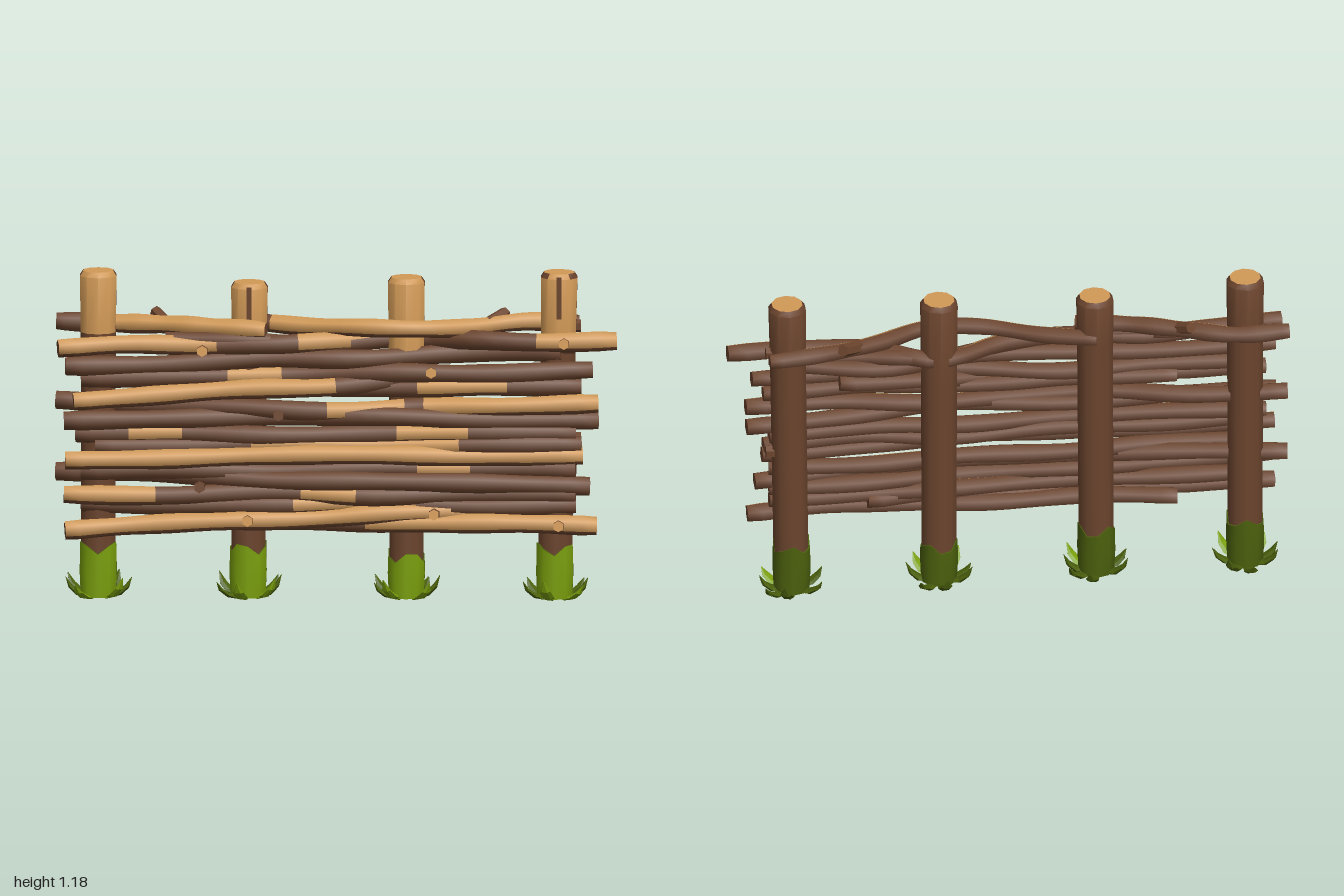
import * as THREE from 'three';
import { toCreasedNormals } from 'three/addons/utils/BufferGeometryUtils.js';

const V = (x, y, z) => new THREE.Vector3(x, y, z);

// Sweeps a polygon along points; pick(centre, normal) chooses a material index per face.
function loft(pts, radii, sides, ref, pick, crease = 1.15) {
  const rings = pts.map((p, i) => {
    const t = pts[Math.min(i + 1, pts.length - 1)].clone().sub(pts[Math.max(i - 1, 0)]).normalize();
    const u = ref.clone().cross(t).normalize();
    const v = t.clone().cross(u);
    return Array.from({ length: sides }, (_, j) => {
      const a = ((j + 0.5) / sides) * Math.PI * 2;
      return p.clone().addScaledVector(u, Math.cos(a) * radii[i]).addScaledVector(v, Math.sin(a) * radii[i]);
    });
  });
  const buckets = [[], []];
  const face = (...c) => {
    const n = c[1].clone().sub(c[0]).cross(c[2].clone().sub(c[0])).normalize();
    const mid = c.reduce((s, p) => s.add(p), V(0, 0, 0)).divideScalar(c.length);
    const out = buckets[pick(mid, n)];
    for (let k = 1; k < c.length - 1; k++) out.push(...c[0].toArray(), ...c[k].toArray(), ...c[k + 1].toArray());
  };
  const last = rings.length - 1;
  for (let j = 0; j < sides; j++) {
    const k = (j + 1) % sides;
    for (let i = 0; i < last; i++) face(rings[i][j], rings[i][k], rings[i + 1][k], rings[i + 1][j]);
    face(pts[0], rings[0][k], rings[0][j]);
    face(pts[last], rings[last][j], rings[last][k]);
  }
  const geo = new THREE.BufferGeometry();
  geo.setAttribute('position', new THREE.Float32BufferAttribute(buckets.flat(), 3));
  const n0 = buckets[0].length / 3;
  geo.addGroup(0, n0, 0);
  geo.addGroup(n0, buckets[1].length / 3, 1);
  return toCreasedNormals(geo, crease);
}

export function createModel() {
  const mat = (name, color) => Object.assign(new THREE.MeshStandardMaterial({ color }), { name });
  const tan = mat('light wood', 0xd29a57);
  const brown = mat('dark bark', 0x6c452e);
  const green = mat('light moss', 0x7a9f0c);
  const darkGreen = mat('dark moss', 0x4b600d);
  const wood = [tan, brown];
  const moss = [green, darkGreen];
  const model = new THREE.Group();
  model.name = 'wovenFence';
  const add = (name, geo, material, parent = model) => {
    const m = new THREE.Mesh(geo, material);
    m.name = name;
    parent.add(m);
    return m;
  };

  // Grass blade: flattened, widest in the middle, curling outward along +x
  const bladePath = [V(0.045, 0.012, 0), V(0.08, 0.024, 0), V(0.108, 0.05, 0), V(0.125, 0.088, 0)];
  const blade = loft(bladePath, [0.008, 0.011, 0.009, 0.001], 6, V(0, 0, 1), () => 1);
  blade.scale(1, 1, 2.2);
  blade.computeVertexNormals();

  // Posts: x, height, lean, moss height, brown front split, lowest light bark, how far light bark wraps
  const posts = [
    [-0.84, 1.18, 0, 0.2, false, 0.96, 0.2],
    [-0.31, 1.14, 0.005, 0.2, true, 0.96, 0.2],
    [0.25, 1.16, 0, 0.17, false, 0.83, 0.2],
    [0.775, 1.18, 0.016, 0.2, true, 0.96, 0.55],
  ];
  posts.forEach(([x, h, lean, mossTop, split, lightFrom, wrap], i) => {
    const g = new THREE.Group();
    g.name = 'post' + (i + 1);
    g.position.set(x, 0, -0.012);
    model.add(g);
    const at = (y) => V((lean * y) / h, y, 0);
    add('postWood', loft([0.015, 0.2, lightFrom, h - 0.018, h].map(at), [0.062, 0.063, 0.065, 0.068, 0.056], 10,
      V(0, 0, 1), (c, n) => (n.y > 0.9 || (c.y > lightFrom && n.z > wrap) ? 0 : 1), 0.7), wood, g);
    if (split) add('frontSplit', new THREE.BoxGeometry(0.018, 0.15, 0.008), brown, g).position.set(lean, h - 0.085, 0.064);

    // Moss sleeve with an uneven upper edge
    const sleeve = loft([V(0, 0.012, 0), V(0, 0.1, 0), V(0, mossTop, 0)], [0.065, 0.069, 0.067], 10,
      V(0, 0, 1), (c, n) => (n.z > 0.25 ? 0 : 1), 0.7);
    const pos = sleeve.attributes.position;
    for (let k = 0; k < pos.count; k++) {
      if (pos.getY(k) > mossTop - 0.01 && Math.hypot(pos.getX(k), pos.getZ(k)) > 0.01)
        pos.setY(k, mossTop - 0.01 + 0.022 * Math.sin(Math.atan2(pos.getZ(k), pos.getX(k)) * 3 + i * 2));
    }
    add('mossSleeve', sleeve, moss, g);

    // Tuft of blades: angle and reach, longest at the back; front blades catch the light moss colour
    [[0.1, 0.95], [0.85, 1.1], [1.5, 1.12], [2.6, 1], [3.3, 0.92], [4.2, 0.98], [5.6, 0.95]].forEach(([a, s], k) => {
      const b = add('grassBlade', blade, k > 4 ? green : darkGreen, g);
      b.rotation.y = a + 0.2 * Math.sin(i * 3 + k);
      b.scale.set(s, 0.85 + 0.15 * Math.sin(k * 2.3 + i), 1);
    });
  });

  // Woven rods: ends, heights, depth at even steps, light stretches along x, arch, radius
  const rod = (x0, y0, x1, y1, zs, light = [], arch = 0, r = 0.034) => {
    const ctrl = zs.map((z, i) => {
      const t = i / (zs.length - 1);
      return V(x0 + (x1 - x0) * t, y0 + (y1 - y0) * t + arch * Math.sin(Math.PI * t) + 0.006 * Math.sin(i * 2.4 + y0 * 40), z);
    });
    ctrl[0].y = y0;
    ctrl[zs.length - 1].y = y1;
    const pts = new THREE.CatmullRomCurve3(ctrl).getPoints(28);
    const radii = pts.map((_, i) => r * (1 + 0.06 * Math.sin(i * 0.9 + y0 * 30)) * (i === 0 || i === 28 ? 0.92 : 1));
    add('wovenRod', loft(pts, radii, 6, V(0, 1, 0), (c, n) =>
      (light.some(([a, b]) => c.x > a && c.x < b) && n.y * 0.6 + n.z * 0.8 > 0.2 ? 0 : 1)), wood);
  };
  const all = [[-1, 1]];
  // Top rods that cross behind the end posts
  rod(-0.99, 0.985, -0.245, 0.98, [-0.075, -0.072, -0.022, 0.035, 0.075], [[-0.78, 0]]);
  rod(-0.31, 0.99, 0.86, 0.985, [-0.06, 0, 0.065, 0.085, 0.01, -0.06, -0.08], [[-0.25, 0.72]], 0, 0.032);
  // Upper band
  rod(-0.98, 0.92, 0.995, 0.945, [0.115, 0.075, 0.055, 0.08, 0.045, -0.045, 0.045, 0.075, 0.06], [[-1, -0.45], [-0.12, 0.2], [0.72, 1]]);
  rod(-0.6, 0.94, 0.85, 0.925, [0.04, 0.07, 0.05, -0.03, 0.02, 0.045], [], 0, 0.03);
  rod(-0.955, 0.85, 0.8, 0.9, [0.08, 0.06, 0.05, 0.07, -0.01, 0.04], []);
  rod(-0.9, 0.8, 0.91, 0.84, [0.05, 0.05, 0.03, 0.07, 0.08, 0.05], [[-0.35, -0.2]]);
  rod(-0.925, 0.73, 0.6, 0.82, [0.12, 0.09, 0.075, 0.08, 0.03, 0.02], [[-1, 0.02]]);
  rod(-0.6, 0.77, 0.87, 0.78, [0.03, 0.035, 0.045, 0.065, 0.045], [[0.3, 0.62]]);
  // Middle band
  rod(-0.99, 0.71, 0.93, 0.72, [-0.03, 0, 0.06, 0.08, 0.05, 0.08, 0.06], [[-0.05, 0.22], [0.32, 1]], -0.02);
  rod(-0.96, 0.655, 0.93, 0.655, [0.085, 0.075, 0.05, 0.085, 0.06, 0.03], [], 0.015);
  rod(-0.92, 0.6, 0.85, 0.61, [0.04, 0.05, 0.07, 0.045, 0.06, 0.035], [[-0.7, -0.55], [0.2, 0.45]]);
  rod(-0.85, 0.56, 0.87, 0.57, [0.06, 0.05, 0.055, 0.04, 0.07, 0.045], [[-0.3, 0.45]]);
  rod(-0.955, 0.515, 0.875, 0.53, [0.1, 0.085, 0.08, 0.085, 0.065, 0.045], all, 0.01);
  // Lower band
  rod(-0.99, 0.455, 0.9, 0.42, [-0.02, 0.02, 0.07, 0.085, 0.07, 0.045], [], 0.005);
  rod(-0.9, 0.47, 0.85, 0.48, [0.05, 0.055, 0.045, 0.04, 0.02, 0.04], [[0.3, 0.5]]);
  rod(-0.96, 0.39, 0.85, 0.39, [0.085, 0.075, 0.05, 0.075, 0.04, 0.045], [[-1, -0.62], [-0.1, 0.05]]);
  rod(-0.9, 0.35, 0.85, 0.35, [0.03, 0.04, 0.055, 0.03, 0.045, 0.03], [[-0.15, 0.3]]);
  rod(-0.955, 0.265, 0.5, 0.325, [0.11, 0.08, 0.08, 0.06, 0.06, 0.03], all, 0.005);
  rod(-0.6, 0.285, 0.925, 0.28, [0, 0.03, 0.03, 0.055, 0.07, 0.06], [[0.1, 1]], 0.005);

  // Cut twig stubs
  const stub = (from, to, r, ref, light) =>
    add('twigStub', loft([from, to], [r, r * 0.9], 6, ref, (c, n) => (light && n.z > 0.3 ? 0 : 1), 0.8), wood);
  [[-0.47, 0.91, 1], [-0.2, 0.68, 0], [-0.48, 0.42, 0], [-0.31, 0.3, 1], [0.34, 0.835, 1], [0.81, 0.94, 1], [0.35, 0.325, 1], [0.79, 0.285, 1]]
    .forEach(([x, y, light]) => stub(V(x, y - 0.006, 0.05), V(x, y + 0.004, 0.128), 0.022, V(0, 1, 0), light));
  stub(V(-0.6, 0.99, -0.02), V(-0.64, 1.022, -0.075), 0.024, V(0, 0, 1), false);
  stub(V(0.54, 0.99, -0.02), V(0.6, 1.018, -0.085), 0.026, V(0, 0, 1), false);
  [0.985, 0.58].forEach((y) => stub(V(0.8, y, -0.02), V(0.868, y, -0.02), 0.025, V(0, 1, 0), false));
  return model;
}
